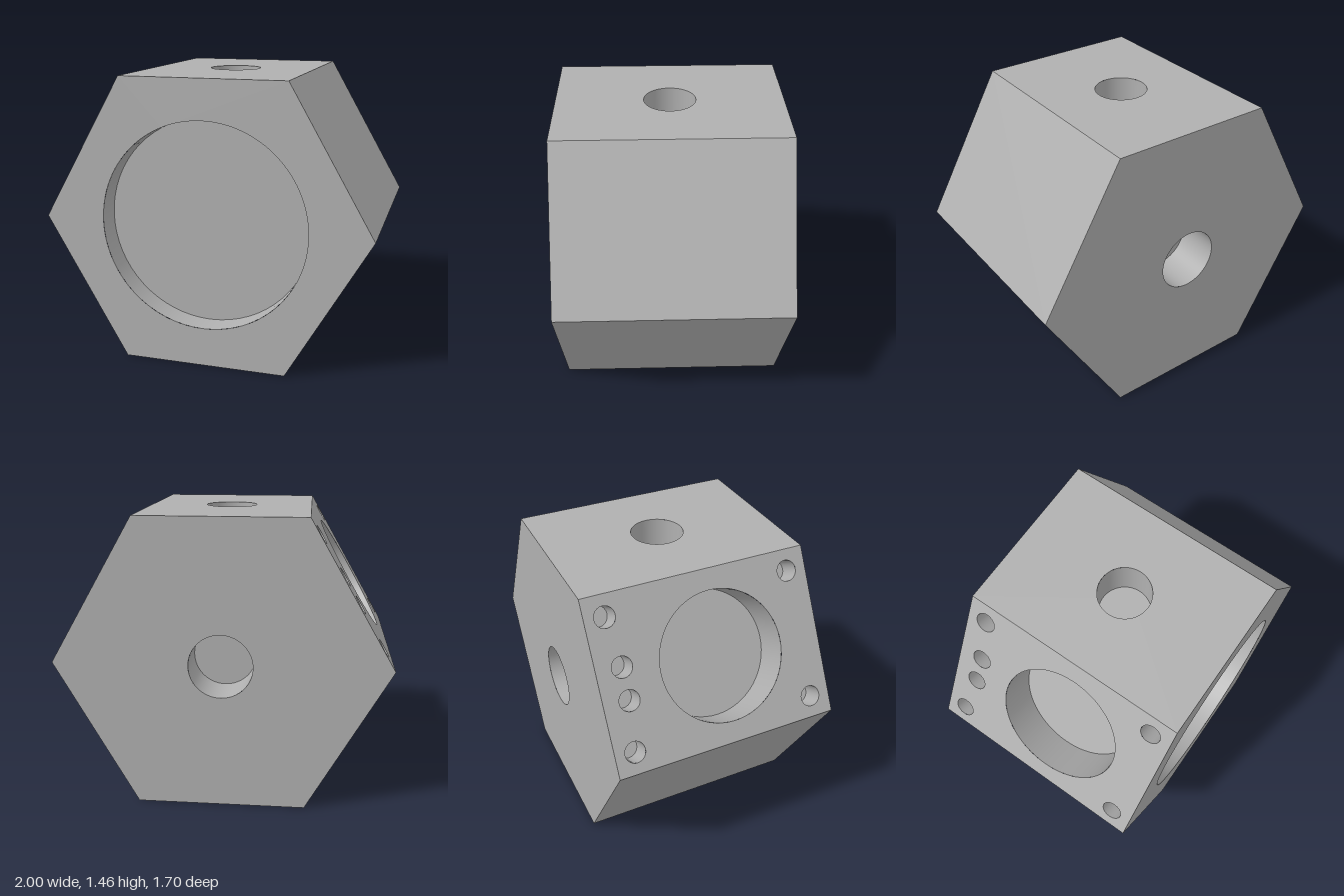
import * as THREE from 'three';

const R = 0.845;                      // hexagon corner radius
const A = R * Math.sqrt(3) / 2;       // hexagon flat distance
const D = 1.156;                      // prism length
const SEG = 64;

export function createModel() {
  const grey = new THREE.MeshStandardMaterial({ color: 0xb0b0b0 });
  grey.name = 'grey';

  // Flat face (outward +z) with blind round pockets { name, x, y, r, d }
  function panel(name, corners, pockets = []) {
    const group = new THREE.Group();
    group.name = name;
    const add = (geometry, part) => {
      const mesh = new THREE.Mesh(geometry, grey);
      mesh.name = part;
      group.add(mesh);
      return mesh;
    };
    const shape = new THREE.Shape(corners.map(([x, y]) => new THREE.Vector2(x, y)));
    for (const { name: part, x, y, r, d } of pockets) {
      shape.holes.push(new THREE.Path().absarc(x, y, r, 0, Math.PI * 2, true));
      // Descending profile makes the wall face inward
      const wall = new THREE.LatheGeometry([new THREE.Vector2(r, 0), new THREE.Vector2(r, -d)], SEG);
      add(wall.rotateX(Math.PI / 2), part + 'Wall').position.set(x, y, 0);
      add(new THREE.CircleGeometry(r, SEG), part + 'Floor').position.set(x, y, -d);
    }
    add(new THREE.ShapeGeometry(shape, SEG), name + 'Surface');
    return group;
  }

  const body = new THREE.Group();
  body.name = 'hexagonalBody';

  // Hexagonal ends
  const hexagon = [0, 1, 2, 3, 4, 5].map(i => [R * Math.cos(i * Math.PI / 3), R * Math.sin(i * Math.PI / 3)]);
  const front = panel('frontEnd', hexagon, [{ name: 'frontRecess', x: 0, y: 0, r: 0.53, d: 0.127 }]);
  front.position.z = D / 2;
  const back = panel('backEnd', hexagon, [{ name: 'backHole', x: 0, y: 0, r: 0.16, d: 0.226 }]);
  back.position.z = -D / 2;
  back.rotation.y = Math.PI;
  body.add(front, back);

  // Pockets of the drilled side: large bore, four corner holes, two middle holes
  const screw = (x, y) => ({ name: 'screwHole', x, y, r: 0.051, d: 0.12 });
  const drilled = [{ name: 'sideBore', x: 0, y: -0.047, r: 0.32, d: 0.2 }];
  for (const s of [-1, 1]) {
    drilled.push(screw(s * 0.318, 0.478), screw(s * 0.318, -0.473), screw(s * 0.079, 0.45));
  }
  const sidePockets = {
    0: [{ name: 'topHole', x: 0, y: 0, r: 0.132, d: 0.226 }],
    1: drilled,
  };

  // Six rectangular sides, starting at the top
  const names = ['topSide', 'upperRightSide', 'lowerRightSide', 'bottomSide', 'lowerLeftSide', 'upperLeftSide'];
  const rectangle = [[-R / 2, -D / 2], [R / 2, -D / 2], [R / 2, D / 2], [-R / 2, D / 2]];
  names.forEach((name, k) => {
    const side = panel(name, rectangle, sidePockets[k]);
    const turn = k * Math.PI / 3;
    side.rotation.set(-Math.PI / 2, 0, turn, 'ZXY');
    side.position.set(-A * Math.sin(turn), A * Math.cos(turn), 0);
    body.add(side);
  });

  body.position.y = A;
  body.rotation.y = 0.3765;
  const model = new THREE.Group();
  model.name = 'hexagonalBlock';
  model.add(body);
  return model;
}
